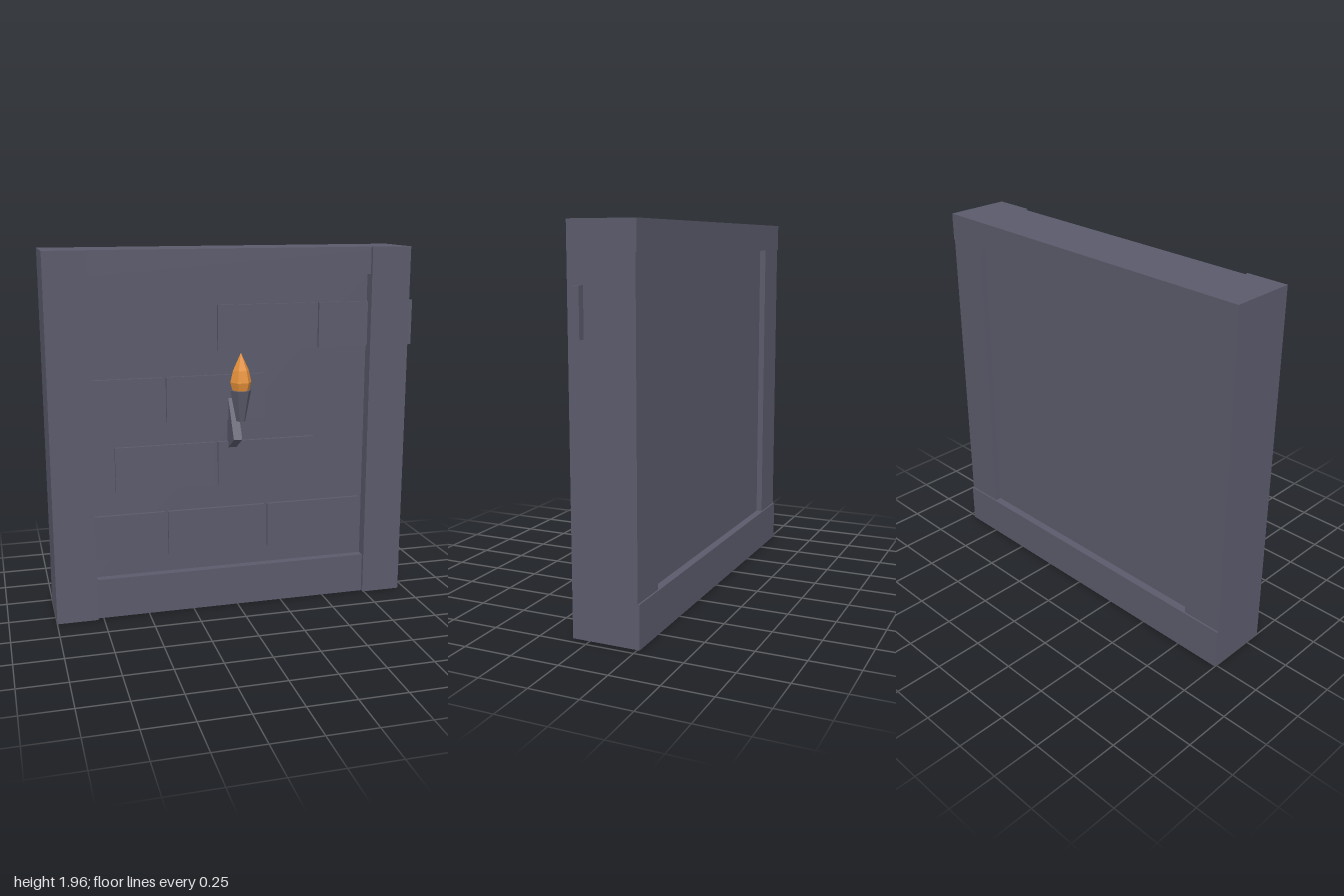
import * as THREE from 'three';

export function createModel() {
  const model = new THREE.Group();
  model.name = 'wallWithTorch';

  const stone = new THREE.MeshStandardMaterial({ color: 0x5a5a6b, flatShading: true });
  stone.name = 'slate stone';
  const fire = new THREE.MeshStandardMaterial({ color: 0xe8923a, flatShading: true });
  fire.name = 'flame orange';

  const add = (name, geometry, material, parent = model) => {
    const mesh = new THREE.Mesh(geometry, material);
    mesh.name = name;
    parent.add(mesh);
    return mesh;
  };

  // Box given by its extents on each axis
  const block = (name, [x0, x1], [y0, y1], [z0, z1], parent) =>
    add(name, new THREE.BoxGeometry(x1 - x0, y1 - y0, z1 - z0), stone, parent)
      .position.set((x0 + x1) / 2, (y0 + y1) / 2, (z0 + z1) / 2);

  // Frame: two pillars, with beams proud at the back and set back at the front
  block('rightPillar', [-1, -0.78], [0, 1.96], [-0.253, 0.09]);
  block('leftPillar', [0.74, 0.96], [0, 1.96], [-0.253, 0.09]);
  block('bottomBeam', [-1, 0.96], [0, 0.22], [-0.262, 0.07]);
  block('topBeam', [-1, 0.96], [1.815, 1.96], [-0.258, 0.07]);

  // Recessed wall panel
  block('wallPanel', [-0.8, 0.76], [0.2, 1.83], [-0.22, 0.025]);

  // Raised bricks, in rows of [bottom, left edges]; the last one pokes through the pillar
  const bricks = new THREE.Group();
  bricks.name = 'bricks';
  model.add(bricks);
  const rows = [
    [0.32, [-0.94, -0.38, 0.18]],
    [0.69, [-0.66, -0.1]],
    [1.055, [-0.94, -0.38]],
    [1.425, [-0.1, 0.46]],
  ];
  for (const [y, edges] of rows)
    for (const x of edges)
      block('brick', [x, x + 0.54], [y, y + 0.243], [0.008, 0.043], bricks);

  // Torch: slanted bracket, tapered six-sided cup and flame
  const torch = new THREE.Group();
  torch.name = 'torch';
  torch.position.x = -0.022;
  model.add(torch);

  const bracket = add('bracket', new THREE.BoxGeometry(0.046, 0.3, 0.17), stone, torch);
  bracket.position.set(0, 1.055, 0.012);
  bracket.rotation.x = -Math.PI / 6;

  const cup = add('torchCup', new THREE.CylinderGeometry(0.056, 0.024, 0.163, 6), stone, torch);
  cup.position.set(0, 1.1635, 0.213);
  cup.rotation.y = Math.PI / 6;

  const profile = [[0, 1.245], [0.045, 1.246], [0.056, 1.288], [0.042, 1.35], [0, 1.44]]
    .map(([r, y]) => new THREE.Vector2(r, y));
  const flame = add('flame', new THREE.LatheGeometry(profile, 6), fire, torch);
  flame.position.z = 0.213;
  flame.rotation.y = Math.PI / 6;

  return model;
}
